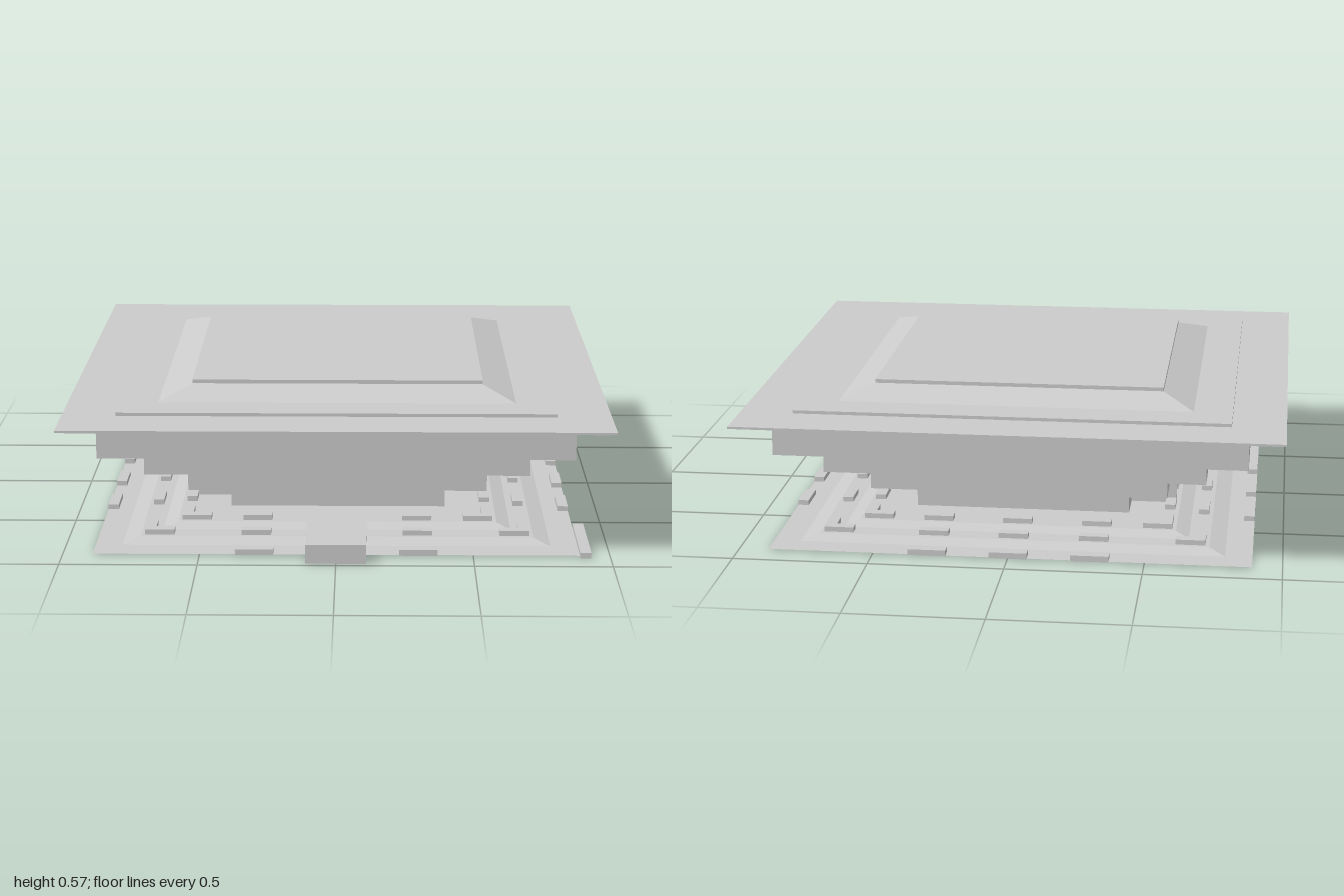
import * as THREE from 'three';

export function createModel() {
  const model = new THREE.Group();
  const material = new THREE.MeshStandardMaterial({ color: 0xcccccc, flatShading: true });
  const sheetMaterial = new THREE.MeshStandardMaterial({
    color: 0xcccccc, flatShading: true, side: THREE.DoubleSide,
  });

  // Box given by its extents on each axis
  function box(name, x0, x1, y0, y1, z0, z1, parent = model) {
    const mesh = new THREE.Mesh(new THREE.BoxGeometry(x1 - x0, y1 - y0, z1 - z0), material);
    mesh.position.set((x0 + x1) / 2, (y0 + y1) / 2, (z0 + z1) / 2);
    mesh.name = name;
    parent.add(mesh);
    return mesh;
  }
  const squareSlab = (name, half, y0, y1) => box(name, -half, half, y0, y1, -half, half);

  // Square solid swept from [half width, height] pairs
  function squareLathe(name, profile, mat) {
    const points = profile.map(([half, y]) => new THREE.Vector2(half * Math.SQRT2, y));
    const mesh = new THREE.Mesh(new THREE.LatheGeometry(points, 4, Math.PI / 4), mat);
    mesh.name = name;
    model.add(mesh);
  }

  // Terraced plinth: flat steps joined by gentle slopes
  squareLathe('terrace', [
    [0.89, 0.003], [0.79, 0.003], [0.73, 0.018], [0.65, 0.018], [0.60, 0.033], [0, 0.033],
  ], sheetMaterial);

  // Low planters around each terrace, with angled ones at the inner corners
  const rings = [
    { edge: 0.89, y: 0, length: 0.14, corners: false },
    { edge: 0.715, y: 0.015, length: 0.11, corners: true },
    { edge: 0.585, y: 0.03, length: 0.11, corners: true },
  ];
  const planters = new THREE.Group();
  planters.name = 'planters';
  model.add(planters);
  for (const { edge, y, length, corners } of rings) {
    for (let side = 0; side < 4; side++) {
      const row = new THREE.Group();
      row.name = 'planterRow';
      row.rotation.y = side * Math.PI / 2;
      for (const t of [-0.3, 0, 0.3]) {
        if (side === 0 && t === 0) continue; // entrance stands here
        box('planter', t - length / 2, t + length / 2, y, y + 0.022, edge - 0.04, edge, row);
      }
      if (corners) {
        box('cornerPlanter', edge - 0.11, edge, y, y + 0.022, edge - 0.04, edge, row);
        box('cornerPlanter', edge - 0.04, edge, y, y + 0.022, edge - 0.11, edge - 0.04, row);
      }
      planters.add(row);
    }
  }
  box('sideStep', 0.89, 0.93, 0, 0.02, 0.57, 0.91);

  // Entrance passage
  box('entrance', -0.11, 0.11, 0, 0.072, 0.54, 0.98);

  // Core and floors that widen upwards
  squareSlab('core', 0.41, 0.033, 0.145);
  squareSlab('lowerFloor', 0.563, 0.145, 0.252);
  squareSlab('middleFloor', 0.713, 0.252, 0.36);
  squareSlab('upperFloor', 0.868, 0.36, 0.472);

  // Supporting fins on the right side
  for (const z of [-0.25, -0.08, 0.09, 0.26]) {
    box('fin', -0.585, -0.4, 0, 0.252, z - 0.015, z + 0.015);
  }

  // Stepped eaves
  [0.91, 0.945, 0.975, 1].forEach((half, i) => {
    squareSlab('eave', half, 0.47 + i * 0.008, 0.478 + i * 0.008);
  });

  // Roof: low slab, sloped skirt and cap
  squareSlab('roofSlab', 0.803, 0.5, 0.514);
  squareLathe('roofSlope', [[0.66, 0.514], [0.542, 0.556], [0, 0.556]], material);
  squareSlab('roofCap', 0.542, 0.555, 0.57);

  return model;
}
